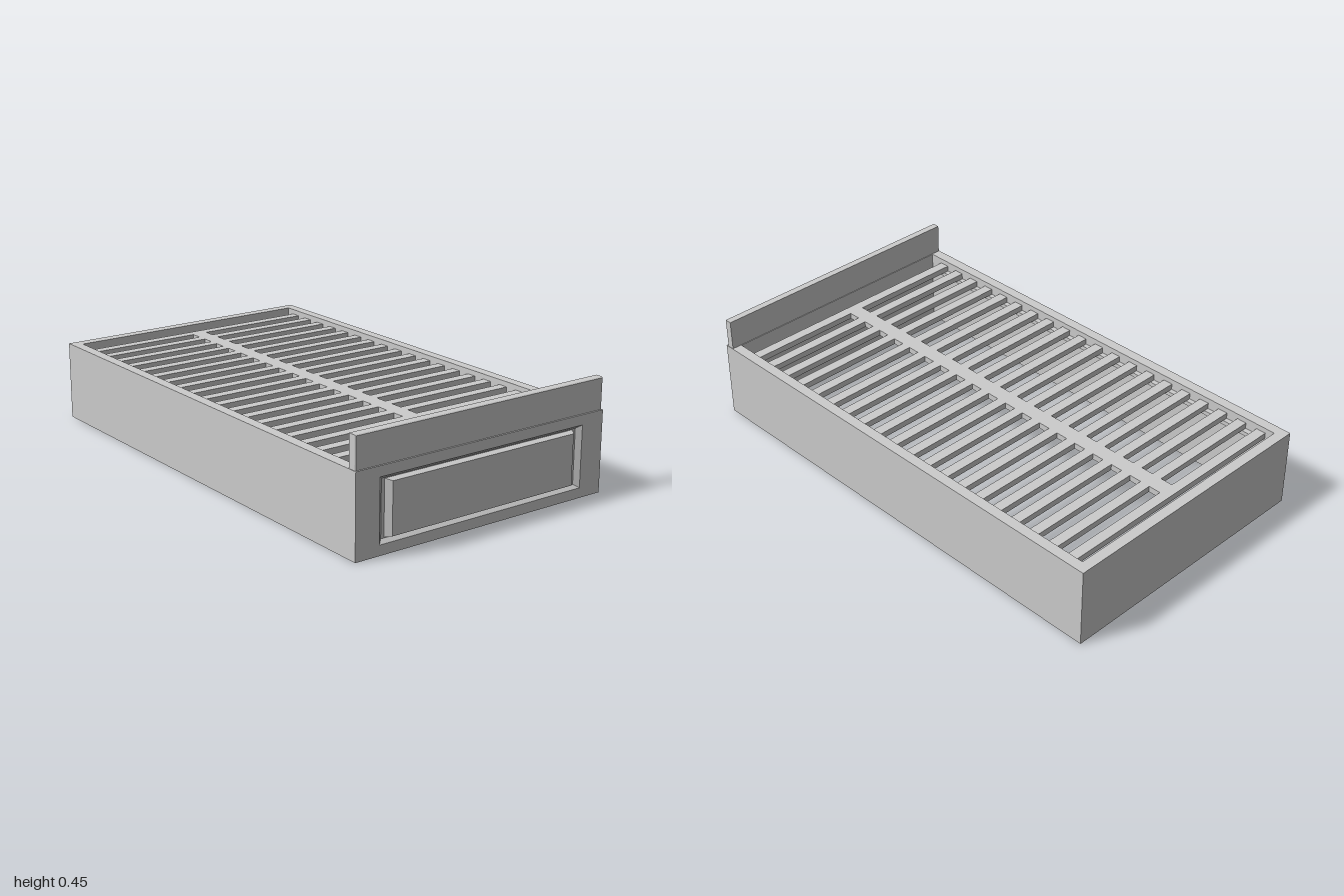
import * as THREE from 'three';

const grey = new THREE.MeshStandardMaterial({ color: 0xcccccc });

// Box given by its minimum and maximum corners
function box(name, [x0, y0, z0], [x1, y1, z1]) {
  const mesh = new THREE.Mesh(new THREE.BoxGeometry(x1 - x0, y1 - y0, z1 - z0), grey);
  mesh.position.set((x0 + x1) / 2, (y0 + y1) / 2, (z0 + z1) / 2);
  mesh.name = name;
  return mesh;
}

// Solid lofted through rectangles [x, half width in z, bottom, top], capped at both ends
function loftRectangles(sections) {
  const loops = sections.map(([x, w, y0, y1]) =>
    [[x, y0, w], [x, y0, -w], [x, y1, -w], [x, y1, w]]);
  const points = [];
  const quad = (a, b, c, d) => points.push(...a, ...b, ...c, ...a, ...c, ...d);
  for (let s = 0; s < loops.length - 1; s++) {
    const a = loops[s], b = loops[s + 1];
    for (let i = 0; i < 4; i++) {
      const j = (i + 1) % 4;
      quad(a[i], a[j], b[j], b[i]);
    }
  }
  const first = loops[0];
  quad(first[3], first[2], first[1], first[0]);
  quad(...loops[loops.length - 1]);
  const geometry = new THREE.BufferGeometry();
  geometry.setAttribute('position', new THREE.Float32BufferAttribute(points, 3));
  geometry.computeVertexNormals();
  return geometry;
}

export function createModel() {
  const bed = new THREE.Group();
  bed.name = 'bedFrame';
  const height = 0.325, halfDepth = 0.575, wall = 0.043;
  const inner = halfDepth - wall;

  // Plain foot end
  bed.add(box('footEnd', [-1, 0, -inner], [-1 + wall, height, inner]));

  // Head end with a grooved, raised panel on its outside
  const headEnd = new THREE.Mesh(loftRectangles([
    [0.95, halfDepth, 0, height],
    [0.993, halfDepth, 0, height],
    [0.993, 0.472, 0.04, 0.285],
    [0.976, 0.453, 0.053, 0.272],
    [0.976, 0.439, 0.056, 0.269],
    [1.0, 0.422, 0.062, 0.263],
  ]), grey);
  headEnd.name = 'panelledHeadEnd';
  bed.add(headEnd);

  // Headboard with slightly chamfered outer edges
  const headboard = new THREE.Mesh(loftRectangles([
    [0.953, 0.573, height, 0.45],
    [0.982, 0.573, height, 0.45],
    [0.987, 0.57, height, 0.447],
  ]), grey);
  headboard.name = 'headboard';
  bed.add(headboard);

  // Side rails and the ledgers that carry the slats
  for (const s of [-1, 1]) {
    const side = s > 0 ? 'left' : 'right';
    const span = (a, b) => [Math.min(s * a, s * b), Math.max(s * a, s * b)];
    const [r0, r1] = span(inner, halfDepth);
    bed.add(box(side + 'Rail', [-1, 0, r0], [0.95, height, r1]));
    const [l0, l1] = span(0.51, inner);
    bed.add(box(side + 'Ledger', [-0.9, 0.262, l0], [0.885, 0.28, l1]));
  }

  // Slats, split around the flush centre beam
  const slats = new THREE.Group();
  slats.name = 'slats';
  const count = 20, beam = 0.033;
  for (let i = 0; i < count; i++) {
    const x = -0.897 + i * 1.768 / (count - 1);
    slats.add(box('rightSlat', [x - 0.021, 0.28, -0.531], [x + 0.021, 0.305, -beam]));
    slats.add(box('leftSlat', [x - 0.021, 0.28, beam], [x + 0.021, 0.305, 0.531]));
  }
  bed.add(slats);
  bed.add(box('centreBeam', [-0.918, 0.28, -beam], [0.892, 0.305, beam]));

  return bed;
}
